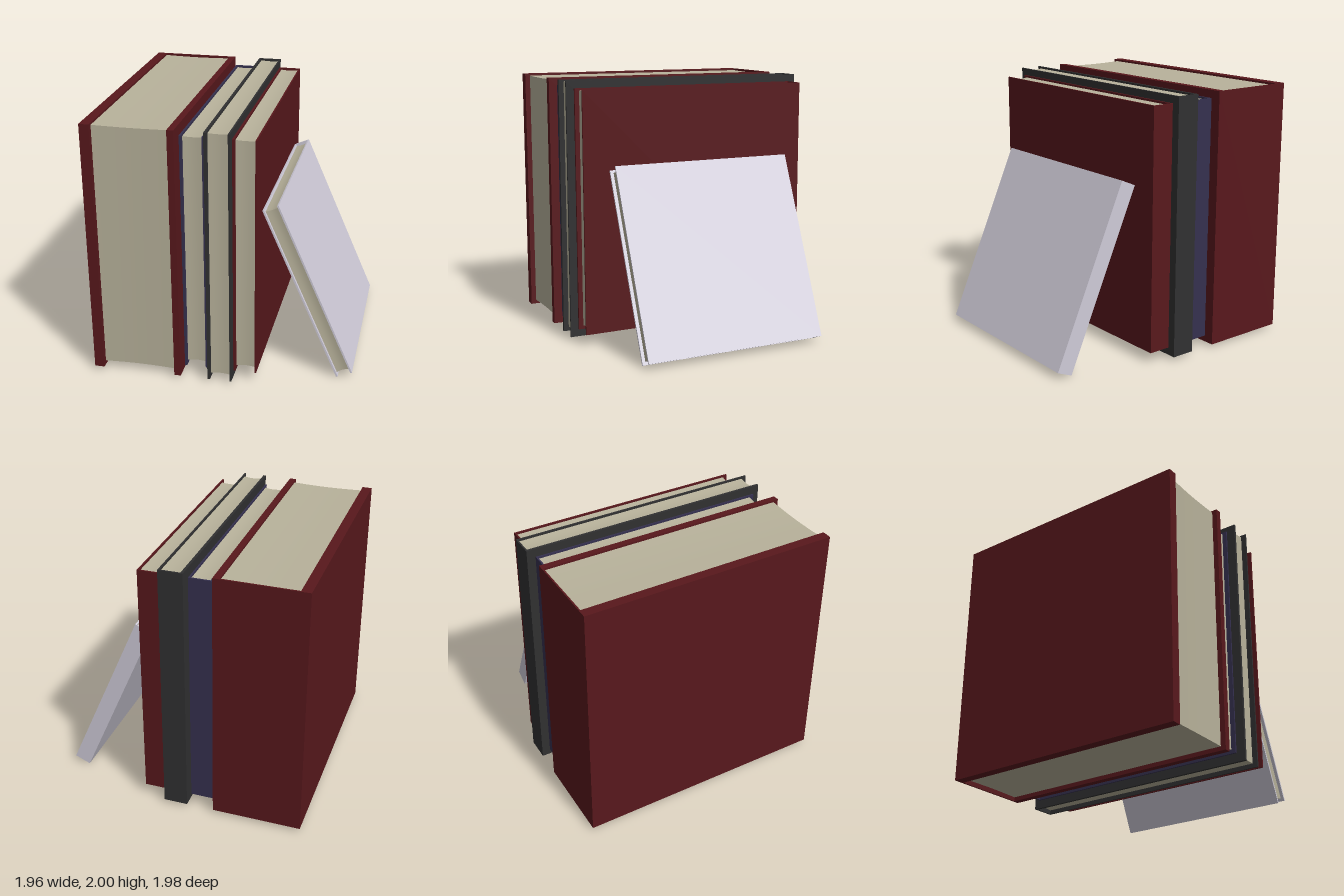
import * as THREE from 'three';

const mat = (color) => new THREE.MeshStandardMaterial({ color });
const pageMat = mat(0xb8b29b);

// Page block with a very shallow hollow along its middle on the three open edges
function pageBlock(w, h, d, hollow) {
  const geo = new THREE.BoxGeometry(w, h, d, 8, 1, 1);
  const p = geo.attributes.position;
  for (let i = 0; i < p.count; i++) {
    const dip = hollow * Math.cos((p.getX(i) / w) * Math.PI);
    p.setY(i, p.getY(i) - Math.sign(p.getY(i)) * dip);
    if (p.getZ(i) > 0) p.setZ(i, p.getZ(i) - dip);
  }
  geo.computeVertexNormals();
  return new THREE.Mesh(geo, pageMat);
}

// Book centred on x, standing on y = 0, spine at the back
function book(o) {
  const g = new THREE.Group();
  g.name = o.name;
  const { w, h, z0, z1, left, right, spine } = o;

  // U-shaped case: two boards joined by the spine, extruded upwards
  const s = new THREE.Shape();
  const x0 = -w / 2, x1 = w / 2;
  [[x0, z0], [x1, z0], [x1, z1], [x1 - right, z1], [x1 - right, z0 + spine],
    [x0 + left, z0 + spine], [x0 + left, z1], [x0, z1]]
    .forEach(([x, z], i) => (i ? s.lineTo(x, -z) : s.moveTo(x, -z)));
  const geo = new THREE.ExtrudeGeometry(s, { depth: h, bevelEnabled: false });
  geo.rotateX(-Math.PI / 2);
  const cover = new THREE.Mesh(geo, mat(o.color));
  cover.name = 'cover';
  g.add(cover);

  // Pages set back from the edges of the boards
  const ph = h - o.low - o.top;
  const pd = z1 - o.inset - (z0 + spine);
  const pages = pageBlock(w - left - right, ph, pd, 0.005);
  pages.position.set((left - right) / 2, o.low + ph / 2, z0 + spine + pd / 2);
  pages.name = 'pages';
  g.add(pages);
  return g;
}

export function createModel() {
  const model = new THREE.Group();
  model.name = 'bookRow';

  // Upright books, from -x to +x
  const upright = [
    { name: 'thickRedBook', color: 0x58181c, x: -0.64, y: 0.03, w: 0.685, h: 1.97, z0: -0.99, z1: 0.985,
      left: 0.075, right: 0.05, spine: 0.012, low: 0.032, top: 0.015, inset: 0.04 },
    { name: 'blueBook', color: 0x35304f, x: -0.19, y: 0.09, w: 0.175, h: 1.855, z0: -0.93, z1: 0.925,
      left: 0.016, right: 0.012, spine: 0.012, low: 0.03, top: 0.015, inset: 0.035 },
    { name: 'blackBook', color: 0x303031, x: 0.005, y: 0.03, w: 0.185, h: 1.97, z0: -0.99, z1: 0.985,
      left: 0.02, right: 0.013, spine: 0.012, low: 0.032, top: 0.015, inset: 0.04 },
    { name: 'thinRedBook', color: 0x58181c, x: 0.188, y: 0.09, w: 0.175, h: 1.855, z0: -0.93, z1: 0.925,
      left: 0.016, right: 0.012, spine: 0.012, low: 0.03, top: 0.015, inset: 0.035 },
  ];
  for (const o of upright) {
    const b = book(o);
    b.position.set(o.x, o.y, 0);
    model.add(b);
  }

  // Small pale book leaning against the row
  const leaning = book({ name: 'leaningBook', color: 0xcfcbd8, w: 0.13, h: 1.455, z0: -0.73, z1: 0.72,
    left: 0.013, right: 0.013, spine: 0.01, low: 0.025, top: 0.02, inset: 0.025 });
  leaning.rotation.z = 0.413;
  leaning.position.set(0.919, 0.031, 0);
  model.add(leaning);

  return model;
}
